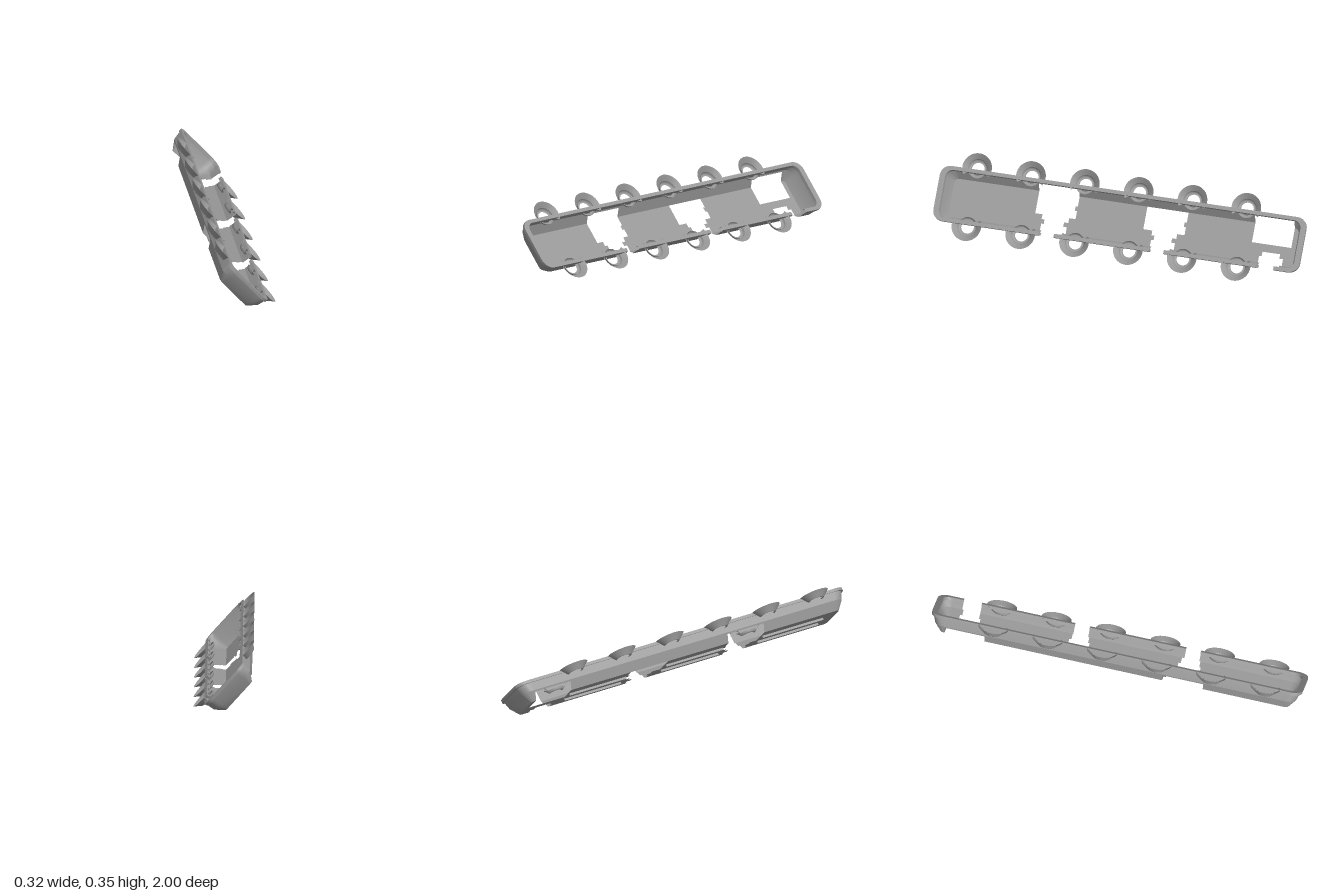
import * as THREE from 'three';
import { toCreasedNormals } from 'three/addons/utils/BufferGeometryUtils.js';

const material = new THREE.MeshStandardMaterial({ color: 0x959595, side: THREE.DoubleSide });
const CAP = 0.918; // z where the straight sides meet the rounded ends

// Trough profile from inner lip to floor edge: half width, end z, height, corner radius
const profile = [
  [0.127, 0.967, -0.016, 0.04],
  [0.129, 0.97, 0, 0.04],
  [0.149, 1, 0, 0.055],
  [0.149, 1, -0.016, 0.055],
  [0.146, 0.99, -0.017, 0.055],
  [0.141, 0.975, -0.06, 0.05],
  [0.104, 0.94, -0.108, 0.022],
];

// Missing sections: wide on the upper half of the floor, narrow on the lower half, narrowest at the rim
const gaps = [
  { wide: [0.26, 0.48], narrow: [0.31, 0.43], rim: [0.335, 0.415], bend: true, band: false },
  { wide: [-0.335, -0.11], narrow: [-0.28, -0.17], rim: [-0.265, -0.185], bend: false, band: false },
  { wide: [-0.915, -0.7], narrow: [-0.87, -0.76], rim: [-0.865, -0.768], bend: true, band: true },
];
const cutsOf = (kind, shift = 0, list = gaps) =>
  list.map(g => [g[kind][0] - shift, g[kind][1] + shift * 0.7]);
const openGaps = gaps.filter(g => !g.band);

function meshFrom(name, positions) {
  const geo = new THREE.BufferGeometry();
  geo.setAttribute('position', new THREE.Float32BufferAttribute(positions, 3));
  const mesh = new THREE.Mesh(toCreasedNormals(geo, 0.45), material);
  mesh.name = name;
  return mesh;
}

const quad = (out, a, b, c, d) => out.push(...a, ...b, ...c, ...a, ...c, ...d);

// Long strip between two (x, y) points, leaving out the given z ranges
function strip(out, a, b, cuts = []) {
  let z = -CAP;
  const sorted = [...cuts].sort((p, q) => p[0] - q[0]);
  for (const [from, to] of [...sorted, [CAP, CAP]]) {
    if (from > z) quad(out, [...a, z], [...a, from], [...b, from], [...b, z]);
    z = to;
  }
}

// U-shaped path round one end of the trough
function endPath([w, zEnd, y, r]) {
  const pts = [[w, y, CAP]];
  for (const side of [1, -1]) {
    for (let i = 0; i <= 6; i++) {
      const t = (side > 0 ? i : 6 - i) / 6 * Math.PI / 2;
      pts.push([side * (w - r + r * Math.cos(t)), y, zEnd - r + r * Math.sin(t)]);
    }
  }
  pts.push([-w, y, CAP]);
  return pts;
}

function endCap(name, dir) {
  const out = [];
  const paths = [...profile, [0, CAP, -0.108, 0]].map(p => endPath(p).map(([x, y, z]) => [x, y, z * dir]));
  for (let k = 0; k + 1 < paths.length; k++) {
    for (let i = 0; i + 1 < paths[k].length; i++) {
      quad(out, paths[k][i], paths[k][i + 1], paths[k + 1][i + 1], paths[k + 1][i]);
    }
  }
  return meshFrom(name, out);
}

function sideWall(name, side) {
  const out = [];
  for (let k = 0; k + 1 < profile.length; k++) {
    const a = [side * profile[k][0], profile[k][2]];
    const b = [side * profile[k + 1][0], profile[k + 1][2]];
    if (k < profile.length - 2) {
      strip(out, a, b, side > 0 ? cutsOf('rim') : []);
      continue;
    }
    // sloping panel, broken in two steps
    const f = side > 0 ? 0.5 : 0.15;
    const m = [a[0] + (b[0] - a[0]) * f, a[1] + (b[1] - a[1]) * f];
    strip(out, a, m, side > 0 ? cutsOf('narrow', -0.012) : []);
    strip(out, m, b, side > 0 ? cutsOf('narrow') : cutsOf('wide', 0, gaps.filter(g => g.bend)));
  }
  return meshFrom(name, out);
}

// Floor in parallel strips whose breaks are staggered like teeth
function floor() {
  const out = [], y = -0.108;
  const rows = [
    [-0.104, -0.05, cutsOf('wide')],
    [-0.05, -0.025, gaps.map(g => [g.wide[0] + (g.band ? 0 : 0.012), g.wide[1]])],
    [-0.025, 0.002, cutsOf('wide')],
    [0.002, 0.018, cutsOf('wide', 0, openGaps)],
    [0.018, 0.044, cutsOf('narrow', 0.015, openGaps)],
    [0.044, 0.068, cutsOf('narrow', -0.008)],
    [0.068, 0.104, cutsOf('narrow', 0.012)],
  ];
  for (const [x0, x1, cuts] of rows) strip(out, [x0, y], [x1, y], cuts);
  return meshFrom('floor', out);
}

// Flared ring with a small lip round its hole and a low collar inside the wall
function flaredRing() {
  const ring = new THREE.Group();
  ring.name = 'flaredRing';
  const flare = [[0.043, -0.033], [0.051, -0.026], [0.063, -0.014], [0.08, 0]];
  const collar = [[0.034, -0.031], [0.043, -0.033], [0.049, -0.028], [0.052, -0.018]];
  const add = (name, pts, start, length) => {
    const geo = new THREE.LatheGeometry(pts.map(p => new THREE.Vector2(...p)), 32, start, length);
    const mesh = new THREE.Mesh(geo, material);
    mesh.name = name;
    ring.add(mesh);
  };
  add('flare', flare, Math.PI / 2 - 2 * Math.PI / 3, 4 * Math.PI / 3);
  add('collar', collar, 0, Math.PI * 2);
  return ring;
}

export function createModel() {
  const model = new THREE.Group();
  model.name = 'tiltedTrough';

  // Trough
  const trough = new THREE.Group();
  trough.name = 'trough';
  trough.add(floor(), sideWall('upperWall', -1), sideWall('lowerWall', 1));
  trough.add(endCap('frontEnd', 1), endCap('backEnd', -1));

  // Rows of flared rings along both edges
  for (const side of [1, -1]) {
    for (let i = 0; i < 6; i++) {
      const ring = flaredRing();
      ring.position.set(side * 0.157, 0, 0.808 - i * 0.294);
      if (side < 0) ring.rotation.y = Math.PI;
      trough.add(ring);
    }
  }

  // Narrow rails under each solid floor section
  for (const x of [-0.04, 0.039]) {
    for (const [z0, z1] of [[0.49, 0.86], [-0.1, 0.25], [-0.69, -0.345]]) {
      const rail = new THREE.Mesh(new THREE.BoxGeometry(0.011, 0.012, z1 - z0), material);
      rail.name = 'floorRail';
      rail.position.set(x, -0.1145, (z0 + z1) / 2);
      trough.add(rail);
    }
  }

  // The whole trough leans over on its lower edge
  trough.rotation.z = -0.835;
  trough.position.y = 0.176;
  model.add(trough);
  return model;
}
